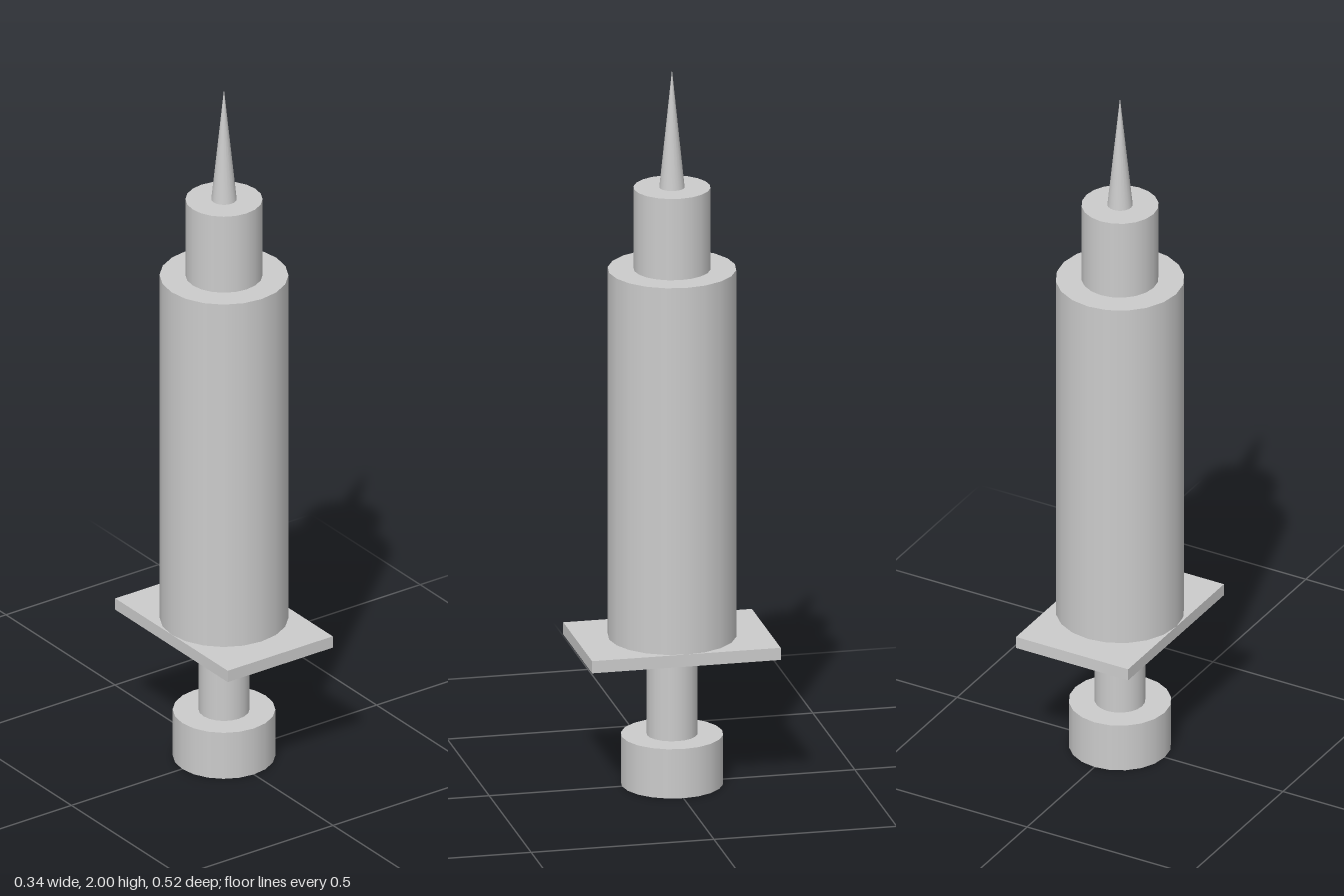
import * as THREE from 'three';

const SIDES = 20;

export function createModel() {
  const group = new THREE.Group();
  const material = new THREE.MeshStandardMaterial({ color: 0xcccccc });

  const add = (name, geometry, y) => {
    const mesh = new THREE.Mesh(geometry, material);
    mesh.name = name;
    mesh.position.y = y;
    group.add(mesh);
  };
  // Upright round part between two heights
  const round = (name, radius, y0, y1) =>
    add(name, new THREE.CylinderGeometry(radius, radius, y1 - y0, SIDES), (y0 + y1) / 2);

  // Plunger
  round('plungerCap', 0.137, 0, 0.138);
  round('plungerRod', 0.068, 0.138, 0.382);

  // Finger flange, long along z
  add('fingerFlange', new THREE.BoxGeometry(0.344, 0.034, 0.516), 0.397);

  // Barrel and needle hub
  round('barrel', 0.172, 0.414, 1.442);
  round('needleHub', 0.103, 1.442, 1.67);

  // Needle
  add('needle', new THREE.ConeGeometry(0.034, 0.33, SIDES), 1.835);

  return group;
}
